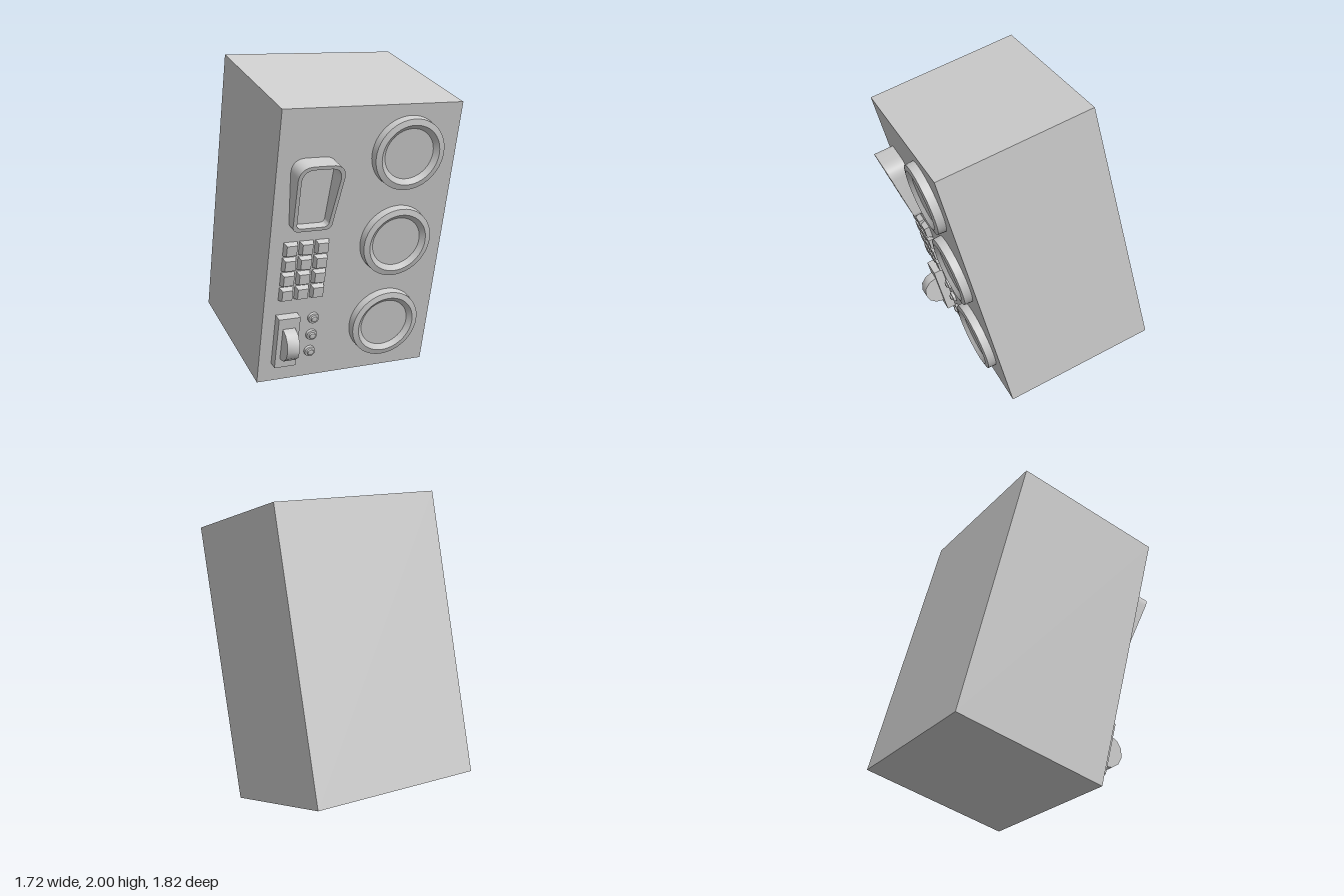
import * as THREE from 'three';
import { toCreasedNormals } from 'three/addons/utils/BufferGeometryUtils.js';

const W = 1.156, H = 1.802, D = 1.0, FRONT = D / 2;
const material = new THREE.MeshStandardMaterial({ color: 0xcccccc });

function addPart(parent, name, geometry, x, y, z) {
  const mesh = new THREE.Mesh(toCreasedNormals(geometry, 0.6), material);
  mesh.name = name;
  mesh.position.set(x, y, z);
  parent.add(mesh);
  return mesh;
}

// Profile of [radius, height] pairs turned so that height points to +z
function turned(profile, segments) {
  const points = profile.map(([r, h]) => new THREE.Vector2(r, h));
  return new THREE.LatheGeometry(points, segments).rotateX(Math.PI / 2);
}

// Rounded trapezoid, wider and rounder at the top
function trapezoid(Path, bottom, top, bottomHalf, topHalf, rBottom, rTop) {
  const p = new Path();
  p.moveTo(-bottomHalf + rBottom, bottom);
  p.lineTo(bottomHalf - rBottom, bottom);
  p.quadraticCurveTo(bottomHalf, bottom, bottomHalf, bottom + rBottom);
  p.lineTo(topHalf, top - rTop);
  p.quadraticCurveTo(topHalf, top, topHalf - rTop, top);
  p.lineTo(-topHalf + rTop, top);
  p.quadraticCurveTo(-topHalf, top, -topHalf, top - rTop);
  p.lineTo(-bottomHalf, bottom + rBottom);
  p.quadraticCurveTo(-bottomHalf, bottom, -bottomHalf + rBottom, bottom);
  return p;
}

// Open hood that is deep at the top and shallow at the bottom
function hoodGeometry() {
  const half = 0.22;
  const shape = trapezoid(THREE.Shape, -half, half, 0.125, 0.145, 0.045, 0.09);
  shape.holes.push(trapezoid(THREE.Path, -half + 0.022, half - 0.022, 0.102, 0.122, 0.035, 0.075));
  const geometry = new THREE.ExtrudeGeometry(shape, { depth: 1, bevelEnabled: false, curveSegments: 10 });
  const pos = geometry.attributes.position;
  for (let i = 0; i < pos.count; i++) {
    const t = (pos.getY(i) + half) / (2 * half);
    pos.setZ(i, pos.getZ(i) * THREE.MathUtils.lerp(0.06, 0.13, t));
  }
  return geometry;
}

export function createModel() {
  const model = new THREE.Group();
  model.name = 'controlCabinet';

  // The whole cabinet is turned and leans forward
  const cabinet = new THREE.Group();
  cabinet.name = 'cabinet';
  cabinet.rotation.set(Math.PI / 12, -Math.PI / 6, 0, 'YXZ');
  cabinet.position.y = 1;
  model.add(cabinet);

  addPart(cabinet, 'body', new THREE.BoxGeometry(W, H, D), 0, 0, 0);

  // Three round dials with a bevelled rim
  const dial = turned([[0.229, 0], [0.226, 0.052], [0.19, 0.06], [0.16, 0.035], [0, 0.035]], 48);
  for (const y of [0.6, 0.02, -0.56]) addPart(cabinet, 'dial', dial, 0.243, y, FRONT);

  addPart(cabinet, 'hood', hoodGeometry(), -0.345, 0.38, FRONT);

  // Keypad of tapered keys
  const keypad = new THREE.Group();
  keypad.name = 'keypad';
  keypad.position.set(-0.345, -0.127, FRONT);
  cabinet.add(keypad);
  const key = new THREE.CylinderGeometry(0.066 / Math.SQRT2, 0.088 / Math.SQRT2, 0.035, 4)
    .rotateY(Math.PI / 4).rotateX(Math.PI / 2);
  for (let row = 0; row < 4; row++) {
    for (let col = 0; col < 3; col++) {
      addPart(keypad, 'key', key, (col - 1) * 0.101, (1.5 - row) * 0.101, 0.0175);
    }
  }

  // Thumb wheel half sunk in a raised plate
  addPart(cabinet, 'wheelPlate', new THREE.BoxGeometry(0.14, 0.345, 0.06), -0.425, -0.597, FRONT + 0.03);
  const wheel = new THREE.CylinderGeometry(0.105, 0.105, 0.08, 12).rotateZ(Math.PI / 2);
  addPart(cabinet, 'thumbWheel', wheel, -0.425, -0.6, FRONT + 0.06);

  // Small buttons with a raised centre
  const button = turned([[0.036, 0], [0.034, 0.018], [0.022, 0.02], [0.018, 0.03], [0, 0.034]], 24);
  for (const y of [-0.474, -0.595, -0.715]) addPart(cabinet, 'button', button, -0.245, y, FRONT);

  return model;
}
